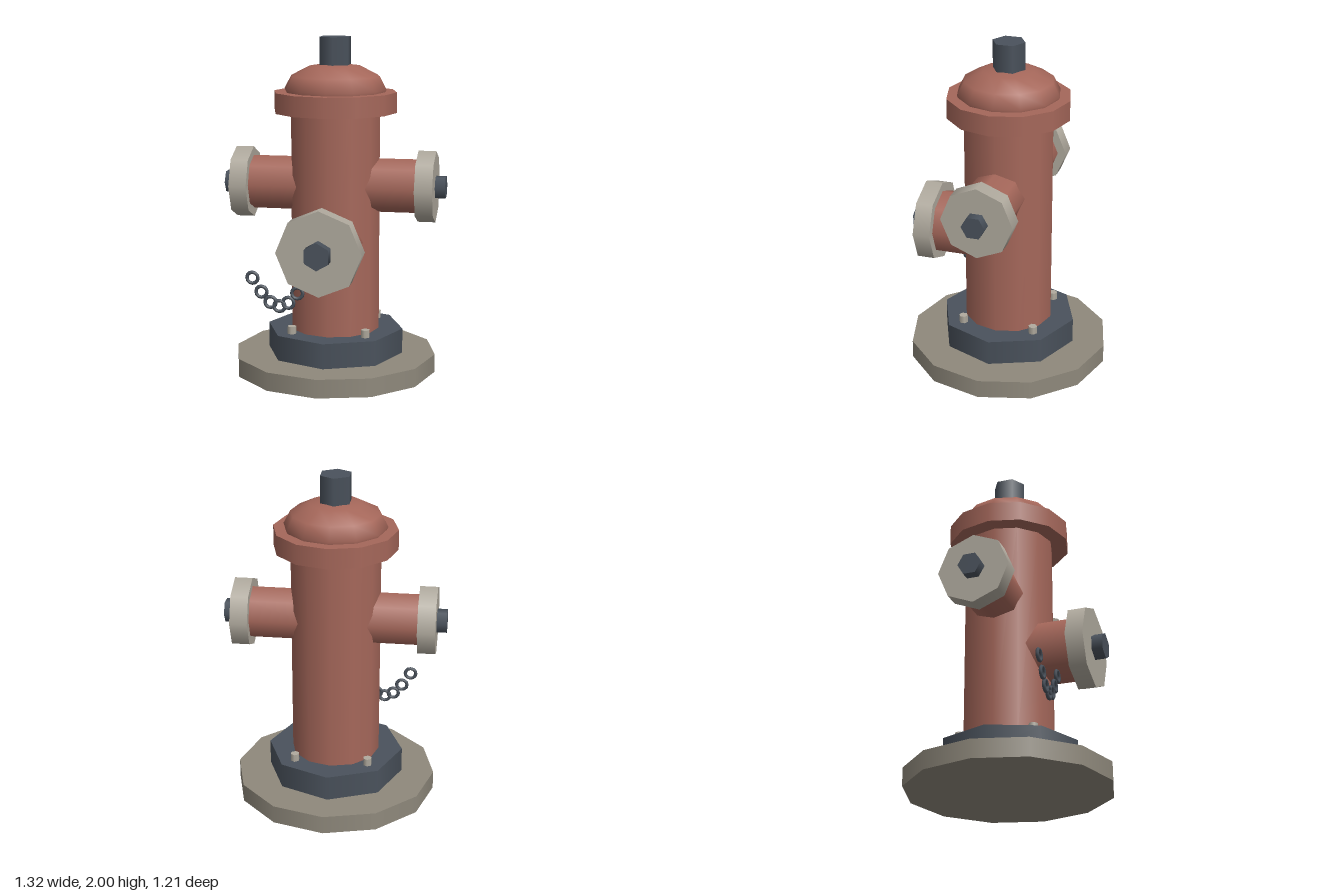
import * as THREE from 'three';

export function createModel() {
  const model = new THREE.Group();
  model.name = 'fireHydrant';

  const paint = (color) => new THREE.MeshStandardMaterial({ color });
  const red = paint(0xa5675a);
  const stone = paint(0x8f897c);
  const pale = paint(0xb0aa9e);
  const dark = paint(0x4a525c);

  const add = (parent, name, geometry, material, x = 0, y = 0, z = 0) => {
    const mesh = new THREE.Mesh(geometry, material);
    mesh.name = name;
    mesh.position.set(x, y, z);
    parent.add(mesh);
    return mesh;
  };

  // Upright prism between two heights
  const prism = (parent, name, radius, sides, y0, y1, material, x = 0, z = 0) =>
    add(parent, name, new THREE.CylinderGeometry(radius, radius, y1 - y0, sides), material, x, (y0 + y1) / 2, z);

  // Central stack
  prism(model, 'groundSlab', 0.607, 12, 0, 0.11, stone);
  prism(model, 'baseFlange', 0.41, 8, 0.11, 0.26, dark);
  prism(model, 'barrel', 0.266, 12, 0.26, 1.58, red);
  prism(model, 'collar', 0.365, 12, 1.56, 1.68, red);
  add(model, 'bonnet', new THREE.SphereGeometry(0.304, 12, 6), red, 0, 1.695, 0).scale.y = 0.51;
  prism(model, 'topNut', 0.097, 6, 1.8, 2, dark);

  // Flange bolts
  for (const x of [-0.22, 0.22]) {
    for (const z of [-0.22, 0.22]) prism(model, 'flangeBolt', 0.027, 6, 0.25, 0.305, pale, x, z);
  }

  // Outlets: pipe, cap and nut along the local y axis
  const outlet = (name, y, pipeR, capR, nutR, capStart, capEnd, nutEnd) => {
    const group = new THREE.Group();
    group.name = name;
    group.position.y = y;
    prism(group, 'pipe', pipeR, 8, 0.1, capStart + 0.02, red);
    prism(group, 'cap', capR, 8, capStart, capEnd, pale);
    prism(group, 'capNut', nutR, 6, capEnd - 0.02, nutEnd, dark);
    model.add(group);
    return group;
  };
  outlet('leftOutlet', 1.13, 0.16, 0.212, 0.07, 0.495, 0.6, 0.66).rotation.z = -Math.PI / 2;
  outlet('rightOutlet', 1.13, 0.16, 0.212, 0.07, 0.495, 0.6, 0.66).rotation.z = Math.PI / 2;
  outlet('frontOutlet', 0.815, 0.195, 0.248, 0.08, 0.42, 0.525, 0.59).rotation.x = Math.PI / 2;

  // Chain sagging beside the front outlet
  const chain = new THREE.Group();
  chain.name = 'chain';
  const link = new THREE.TorusGeometry(0.033, 0.0105, 6, 12);
  for (let i = 0; i < 7; i++) {
    const t = i / 6;
    add(chain, 'chainLink', link, dark, -0.43 + 0.32 * t, 0.617 - 0.163 * Math.sin(Math.PI * t), 0.33);
  }
  model.add(chain);

  return model;
}
